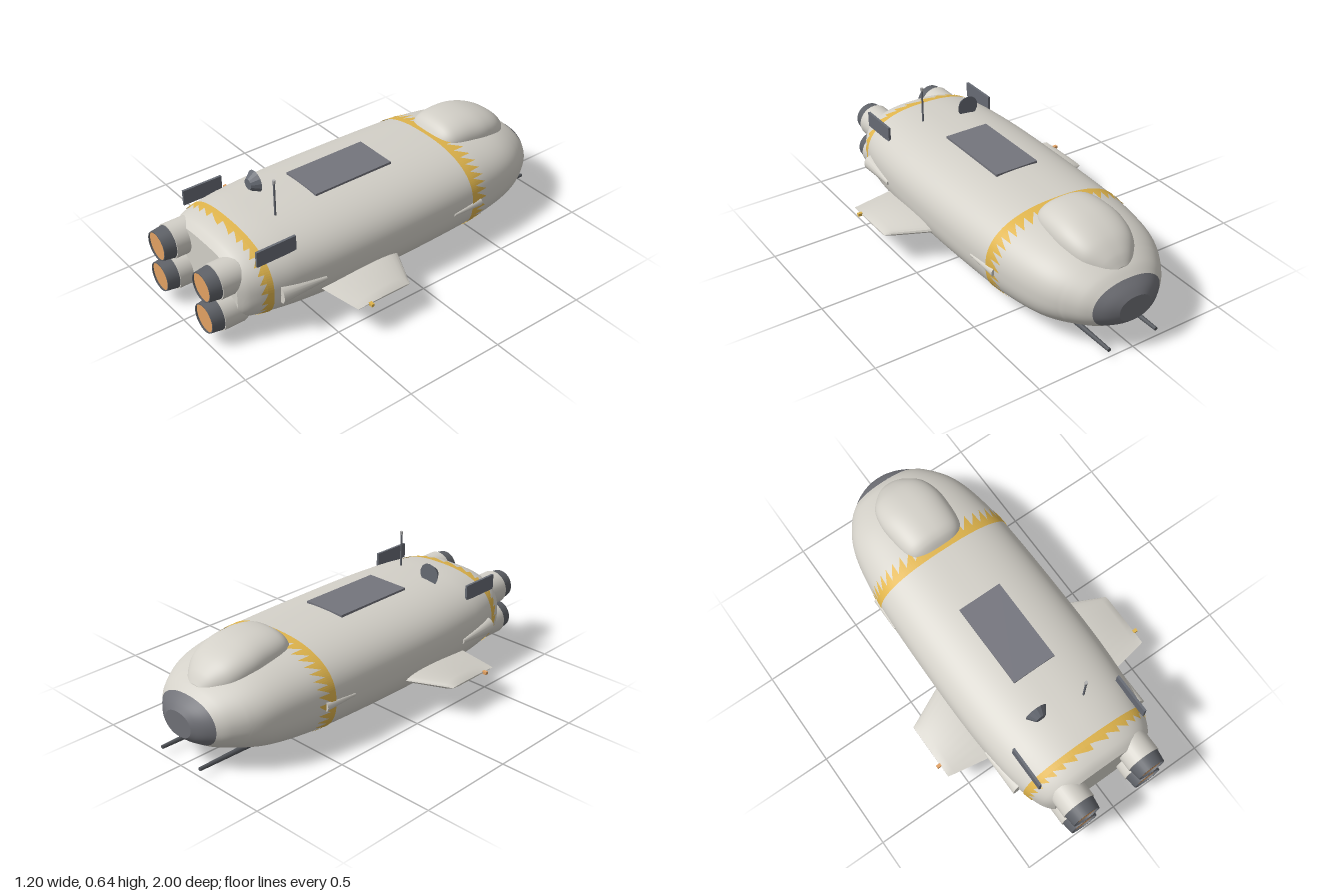
import * as THREE from 'three';
import { toCreasedNormals } from 'three/addons/utils/BufferGeometryUtils.js';

const mat = (name, color, side = THREE.FrontSide) => {
  const m = new THREE.MeshStandardMaterial({ color, side });
  m.name = name;
  return m;
};

// Smooth interpolation of station rows [z, halfWidth, yBottom, yTop, exponent]
function sample(st, z) {
  let i = 0;
  while (i < st.length - 2 && z > st[i + 1][0]) i++;
  const a = st[i], b = st[i + 1], p = st[Math.max(i - 1, 0)], q = st[Math.min(i + 2, st.length - 1)];
  const h = b[0] - a[0], t = (z - a[0]) / h;
  return a.map((v, k) => {
    const ma = (b[k] - p[k]) / (b[0] - p[0]) * h, mb = (q[k] - v) / (q[0] - a[0]) * h;
    return v * (1 + 2 * t) * (1 - t) ** 2 + ma * t * (1 - t) ** 2 + b[k] * t * t * (3 - 2 * t) + mb * t * t * (t - 1);
  });
}

// Point on a superellipse section
function sectionPoint(st, z, angle, offset = 0) {
  const [, hw, y0, y1, n] = sample(st, z);
  const pow = (v) => Math.sign(v) * Math.abs(v) ** (2 / n);
  return [
    (hw + offset) * pow(Math.cos(angle)),
    (y0 + y1) / 2 + ((y1 - y0) / 2 + offset) * pow(Math.sin(angle)), z];
}

// Angle below the horizontal at which a section crosses height y
function waterlineAngle(st, z, y) {
  const [, , y0, y1, n] = sample(st, z);
  const drop = Math.min(((y0 + y1) / 2 - y) / ((y1 - y0) / 2), 1);
  return Math.asin(drop ** (n / 2));
}

// Skin over closed rings; columns from lowFrom on go to the second material group
function skin(rings, { capStart = false, capEnd = false, lowFrom = Infinity } = {}) {
  const n = rings[0].length, pos = rings.flat(2), upper = [], lower = [];
  for (let i = 0; i < rings.length - 1; i++) {
    for (let j = 0; j < n; j++) {
      const a = i * n + j, b = i * n + (j + 1) % n, c = a + n, d = b + n;
      (j >= lowFrom ? lower : upper).push(a, b, c, b, d, c);
    }
  }
  const cap = (ring, flip) => {
    const base = pos.length / 3;
    const mid = [0, 1, 2].map((k) => ring.reduce((s, p) => s + p[k], 0) / n);
    pos.push(...ring.flat(), ...mid);
    for (let j = 0; j < n; j++) {
      const p = base + j, q = base + (j + 1) % n;
      upper.push(base + n, flip ? q : p, flip ? p : q);
    }
  };
  if (capStart) cap(rings[0], true);
  if (capEnd) cap(rings[rings.length - 1], false);
  const g = new THREE.BufferGeometry();
  g.setAttribute('position', new THREE.Float32BufferAttribute(pos, 3));
  g.setIndex([...upper, ...lower]);
  if (lower.length) {
    g.addGroup(0, upper.length, 0);
    g.addGroup(upper.length, lower.length, 1);
  }
  g.computeVertexNormals();
  return g;
}

// Loft with rings of angles chosen by angleAt(j, z)
function loft(st, zA, zB, rows, cols, options, angleAt = (j) => j / cols * Math.PI * 2) {
  const rings = [];
  for (let i = 0; i <= rows; i++) {
    const z = zA + (zB - zA) * i / rows, ring = [];
    for (let j = 0; j < cols; j++) ring.push(sectionPoint(st, z, angleAt(j, z)));
    rings.push(ring);
  }
  return skin(rings, options);
}

const HULL = [
  [-1, 0.085, 0.15, 0.27, 2.2], [-0.98, 0.13, 0.13, 0.295, 2.2], [-0.94, 0.185, 0.105, 0.33, 2.2],
  [-0.9, 0.228, 0.085, 0.362, 2.2], [-0.8, 0.295, 0.055, 0.405, 2.3], [-0.7, 0.332, 0.033, 0.43, 2.4],
  [-0.55, 0.36, 0.015, 0.448, 2.4], [-0.4, 0.375, 0.007, 0.456, 2.4], [0, 0.385, 0, 0.461, 2.4],
  [0.35, 0.383, 0.005, 0.461, 2.4], [0.6, 0.366, 0.018, 0.455, 2.4], [0.7, 0.35, 0.026, 0.448, 2.4],
  [0.78, 0.328, 0.035, 0.435, 2.5], [0.84, 0.297, 0.046, 0.412, 2.7], [0.87, 0.265, 0.06, 0.382, 3],
];
const CANOPY = [
  [-0.9, 0.045, 0.305, 0.365, 2.3], [-0.87, 0.085, 0.285, 0.41, 2.3], [-0.8, 0.142, 0.285, 0.467, 2.4],
  [-0.7, 0.168, 0.295, 0.506, 2.4], [-0.6, 0.168, 0.3, 0.52, 2.4], [-0.5, 0.155, 0.322, 0.513, 2.4],
  [-0.455, 0.13, 0.35, 0.49, 2.4], [-0.43, 0.085, 0.4, 0.452, 2.4],
];

// Hull rings have a column edge exactly on the belly paint line
const UPPER = 84, LOWER = 36, BELLY_Y = 0.064;
function hullAngle(j, z) {
  const w = waterlineAngle(HULL, z, BELLY_Y);
  return j <= UPPER
    ? -w + (Math.PI + 2 * w) * j / UPPER
    : Math.PI + w + (Math.PI - 2 * w) * (j - UPPER) / LOWER;
}

// Painted band wrapped over the hull with a sawtooth edge
function toothedBand(zBase, zSolid, zTip, teeth) {
  const pos = [], steps = 4, start = -0.75, span = Math.PI + 1.5, total = teeth * steps;
  const at = (i, z) => sectionPoint(HULL, z, start + span * i / total, 0.003);
  for (let i = 0; i < total; i++) {
    const f = (i % steps) / steps;
    const edgeA = zTip + (zSolid - zTip) * f, edgeB = zTip + (zSolid - zTip) * (f + 1 / steps);
    const a = at(i, zBase), b = at(i + 1, zBase), c = at(i, zSolid), d = at(i + 1, zSolid);
    pos.push(...a, ...b, ...c, ...b, ...d, ...c);
    const e = at(i, edgeA), g = at(i + 1, edgeB);
    pos.push(...c, ...d, ...e, ...d, ...g, ...e);
  }
  const geometry = new THREE.BufferGeometry();
  geometry.setAttribute('position', new THREE.Float32BufferAttribute(pos, 3));
  geometry.computeVertexNormals();
  return geometry;
}

// Swept wing with an aerofoil section and a bevelled tip
function wingGeometry(side) {
  const half = 12, sections = [[0.3, 0.02, 0.5, 0.029], [0.545, 0.139, 0.457, 0.027], [0.58, 0.155, 0.45, 0.004]];
  const rings = sections.map(([x, lead, trail, h]) => {
    const ring = [];
    for (let j = 0; j < half * 2; j++) {
      const u = j <= half ? j / half : 2 - j / half, t = u * u * (2 - u);
      const y = 2.6 * Math.sqrt(t) * (1 - t) * h * (j <= half ? 1 : -1);
      ring.push([x * side, 0.157 + y, lead + (trail - lead) * t]);
    }
    return side > 0 ? ring : ring.reverse();
  });
  return toCreasedNormals(skin(rings, { capEnd: true }), 0.6);
}

export function createModel() {
  const root = new THREE.Group();
  root.name = 'shuttle';
  const pale = mat('paleHull', 0xd3d0c8), belly = mat('bellyDark', 0x53565b);
  const gold = mat('goldPaint', 0xdfb44c, THREE.DoubleSide), orange = mat('engineGlow', 0xe3a263);
  const slate = mat('slateParts', 0x676b74), noseGrey = mat('noseGrey', 0x707177);
  const panelGrey = mat('panelGrey', 0x74757d), nozzleGrey = mat('nozzleGrey', 0x5e6167, THREE.DoubleSide);
  const tipGrey = mat('antennaTip', 0xb0b0b0);

  const add = (name, geometry, material, x = 0, y = 0, z = 0) => {
    const m = new THREE.Mesh(geometry, material);
    m.name = name;
    m.position.set(x, y, z);
    root.add(m);
    return m;
  };
  // Cylinder along z: rBack at its -z end, rFront at its +z end
  const tubeZ = (rBack, rFront, length, sides = 32, open = false) =>
    new THREE.CylinderGeometry(rFront, rBack, length, sides, 1, open).rotateX(Math.PI / 2);

  // Hull, nose and canopy
  add('hull', loft(HULL, -0.94, 0.87, 120, UPPER + LOWER, { capEnd: true, lowFrom: UPPER }, hullAngle), [pale, belly]);
  add('noseCap', loft(HULL, -1, -0.94, 5, 64, { capStart: true }), noseGrey);
  add('canopy', loft(CANOPY, -0.9, -0.43, 40, 64, { capStart: true, capEnd: true }), pale);

  // Painted bands
  add('frontBand', toothedBand(-0.41, -0.44, -0.507, 30), gold);
  add('rearBand', toothedBand(0.73, 0.757, 0.787, 24), gold);

  // Four engines
  for (const x of [-0.187, 0.187]) {
    for (const y of [0.132, 0.305]) {
      add('engineFairing', tubeZ(0.06, 0.085, 0.06), pale, x, y, 0.8);
      add('engineHousing', tubeZ(0.085, 0.085, 0.11), pale, x, y, 0.885);
      add('engineNozzle', tubeZ(0.08, 0.072, 0.06, 32, true), nozzleGrey, x, y, 0.97);
      add('nozzleRim', new THREE.RingGeometry(0.067, 0.072, 32), nozzleGrey, x, y, 1);
      add('engineGlow', new THREE.CircleGeometry(0.073, 32), orange, x, y, 0.99);
    }
  }

  // Mirrored side parts
  for (const s of [-1, 1]) {
    add('wing', wingGeometry(s), pale);
    add('wingTipLight', new THREE.BoxGeometry(0.022, 0.014, 0.016), s > 0 ? gold : orange, s * 0.587, 0.157, 0.382);
    add('rearSideFairing', tubeZ(0.012, 0.045, 0.23, 16), pale, s * 0.3565, 0.217, 0.583).rotation.y = -s * 0.143;
    add('frontSideFairing', tubeZ(0.025, 0.007, 0.175, 16), pale, s * 0.368, 0.224, -0.378).rotation.y = s * 0.1;
    add('tailFin', new THREE.BoxGeometry(0.012, 0.077, 0.207), slate, s * 0.297, 0.417, 0.68);
    add('noseProbe', tubeZ(0.009, 0.014, 0.29, 12), belly, s * 0.13, 0.037, -0.853);
  }

  // Roof equipment
  add('roofPanel', new THREE.BoxGeometry(0.23, 0.02, 0.44), panelGrey, 0, 0.457, 0.11);
  add('sensorDish', toCreasedNormals(tubeZ(0.057, 0.027, 0.04, 14), 0.3), slate, -0.119, 0.486, 0.522);
  add('antennaMast', new THREE.CylinderGeometry(0.005, 0.005, 0.19, 10), slate, 0.115, 0.53, 0.555);
  add('antennaTip', new THREE.CylinderGeometry(0.008, 0.008, 0.016, 10), tipGrey, 0.115, 0.628, 0.555);
  return root;
}
